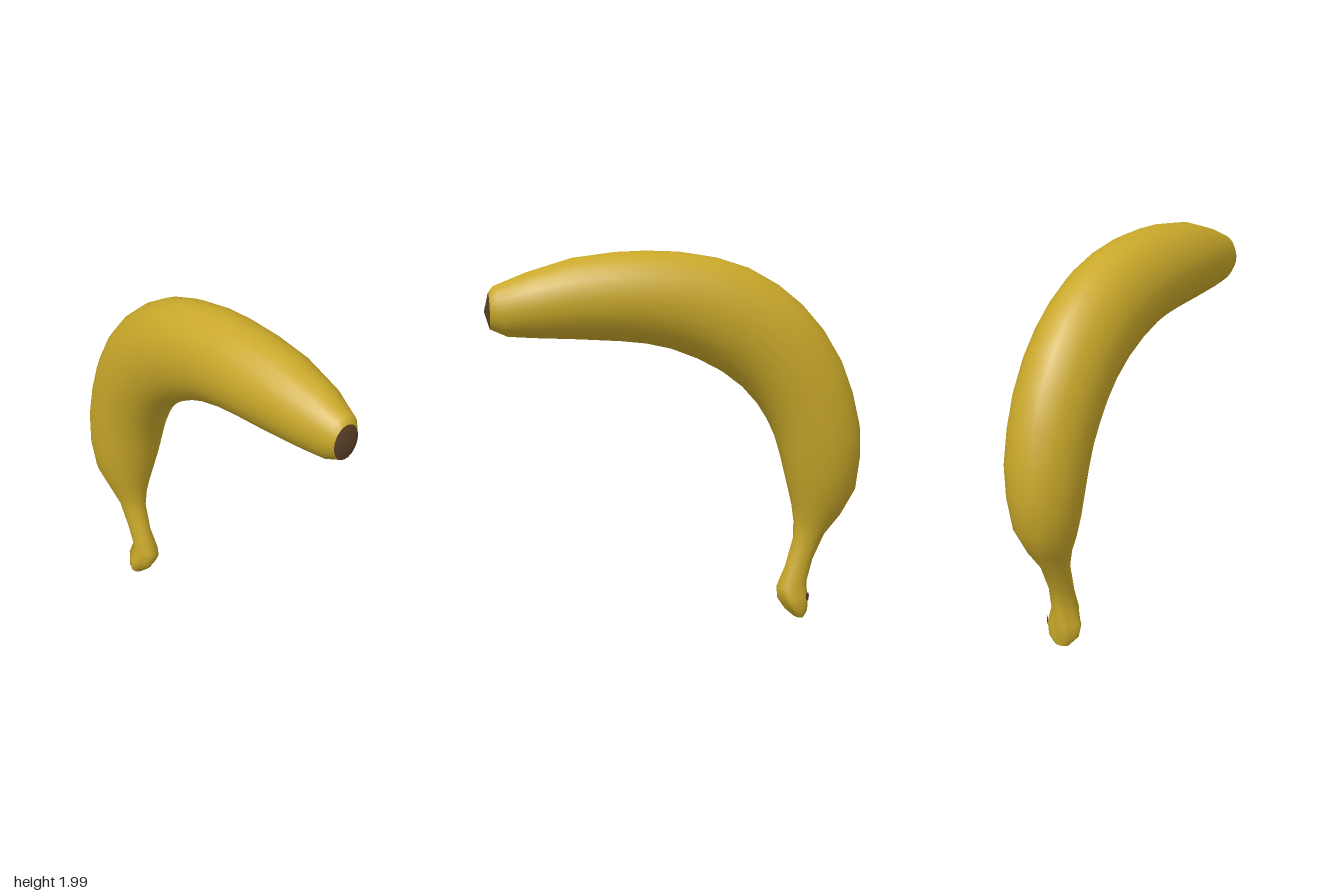
import * as THREE from 'three';

const SIDES = 24;

// Cross-sections from blossom tip to stem end:
// outer z, outer y, inner z, inner y, centre x, half width
const STATIONS = [
  [0.972, 1.80, 0.968, 1.615, -0.013, 0.074],
  [0.95, 1.832, 0.88, 1.576, -0.005, 0.105],
  [0.78, 1.90, 0.75, 1.567, 0, 0.155],
  [0.55, 1.968, 0.52, 1.555, -0.003, 0.19],
  [0.33, 1.995, 0.30, 1.54, -0.003, 0.204],
  [0.17, 2.0, 0.17, 1.525, -0.003, 0.208],
  [0, 1.993, 0.04, 1.495, -0.003, 0.21],
  [-0.2, 1.96, -0.1, 1.44, -0.003, 0.21],
  [-0.37, 1.905, -0.23, 1.37, -0.003, 0.211],
  [-0.53, 1.815, -0.34, 1.285, -0.003, 0.211],
  [-0.66, 1.71, -0.42, 1.195, -0.003, 0.211],
  [-0.77, 1.585, -0.48, 1.10, -0.002, 0.21],
  [-0.87, 1.42, -0.525, 1.0, 0, 0.205],
  [-0.935, 1.25, -0.555, 0.90, 0, 0.2],
  [-0.98, 1.07, -0.58, 0.80, -0.002, 0.192],
  [-0.99, 0.90, -0.605, 0.705, -0.008, 0.175],
  [-0.97, 0.72, -0.625, 0.62, -0.012, 0.145],
  [-0.895, 0.58, -0.635, 0.54, -0.013, 0.1],
  [-0.805, 0.47, -0.635, 0.45, -0.013, 0.068],
  [-0.74, 0.33, -0.59, 0.29, -0.01, 0.058],
  [-0.705, 0.21, -0.54, 0.18, 0, 0.063],
  [-0.718, 0.13, -0.558, 0.11, -0.008, 0.083],
  [-0.708, 0.05, -0.595, 0.055, -0.008, 0.078],
  [-0.695, 0.008, -0.635, 0.015, -0.01, 0.045],
];

// Ring of points; the last few rings get knobbly lobes for the cut stem
function ring([oz, oy, iz, iy, cx, w], index) {
  const lobes = index > 20 && index < 23 ? 0.09 : 0;
  const points = [];
  for (let j = 0; j < SIDES; j++) {
    const a = (j / SIDES) * Math.PI * 2;
    const r = 1 + lobes * Math.cos(5 * a + index);
    const c = (Math.cos(a) * r) / 2;
    points.push(new THREE.Vector3(
      cx + w * r * Math.sin(a),
      (oy + iy) / 2 + (oy - iy) * c,
      (oz + iz) / 2 + (oz - iz) * c));
  }
  return points;
}

function geometryFrom(points, indices) {
  const geometry = new THREE.BufferGeometry().setFromPoints(points);
  geometry.setIndex(indices);
  geometry.computeVertexNormals();
  return geometry;
}

// Skin lofted through all rings
function loft(rings) {
  const indices = [];
  for (let i = 0; i < rings.length - 1; i++) {
    for (let j = 0; j < SIDES; j++) {
      const k = (j + 1) % SIDES;
      const a = i * SIDES + j, b = i * SIDES + k;
      const c = a + SIDES, d = b + SIDES;
      indices.push(a, b, c, b, d, c);
    }
  }
  return geometryFrom(rings.flat(), indices);
}

// Fan that closes one end
function cap(points, centre, flip) {
  const indices = [];
  for (let j = 0; j < SIDES; j++) {
    const k = (j + 1) % SIDES;
    indices.push(SIDES, flip ? j : k, flip ? k : j);
  }
  return geometryFrom([...points, centre], indices);
}

export function createModel() {
  const group = new THREE.Group();
  group.name = 'banana';
  const yellow = new THREE.MeshStandardMaterial({ color: 0xc9a82a });
  yellow.name = 'yellow peel';
  const brown = new THREE.MeshStandardMaterial({ color: 0x5e4228 });
  brown.name = 'dark brown';

  const add = (name, geometry, material) => {
    const mesh = new THREE.Mesh(geometry, material);
    mesh.name = name;
    group.add(mesh);
    return mesh;
  };

  const rings = STATIONS.map(ring);
  add('peel', loft(rings), yellow);

  // Brown blossom tip at the front, yellow cut face under the stem
  add('blossomTip', cap(rings[0], new THREE.Vector3(-0.013, 1.705, 0.995), false), brown);
  add('stemEnd', cap(rings[rings.length - 1], new THREE.Vector3(-0.01, 0.02, -0.665), true), yellow);

  // Small bruise on the side of the stem
  const spot = add('stemSpot', new THREE.CircleGeometry(0.018, 8), brown);
  spot.scale.y = 1.4;
  spot.position.set(0.058, 0.135, -0.697);
  spot.rotation.y = Math.PI * 0.75;

  return group;
}
